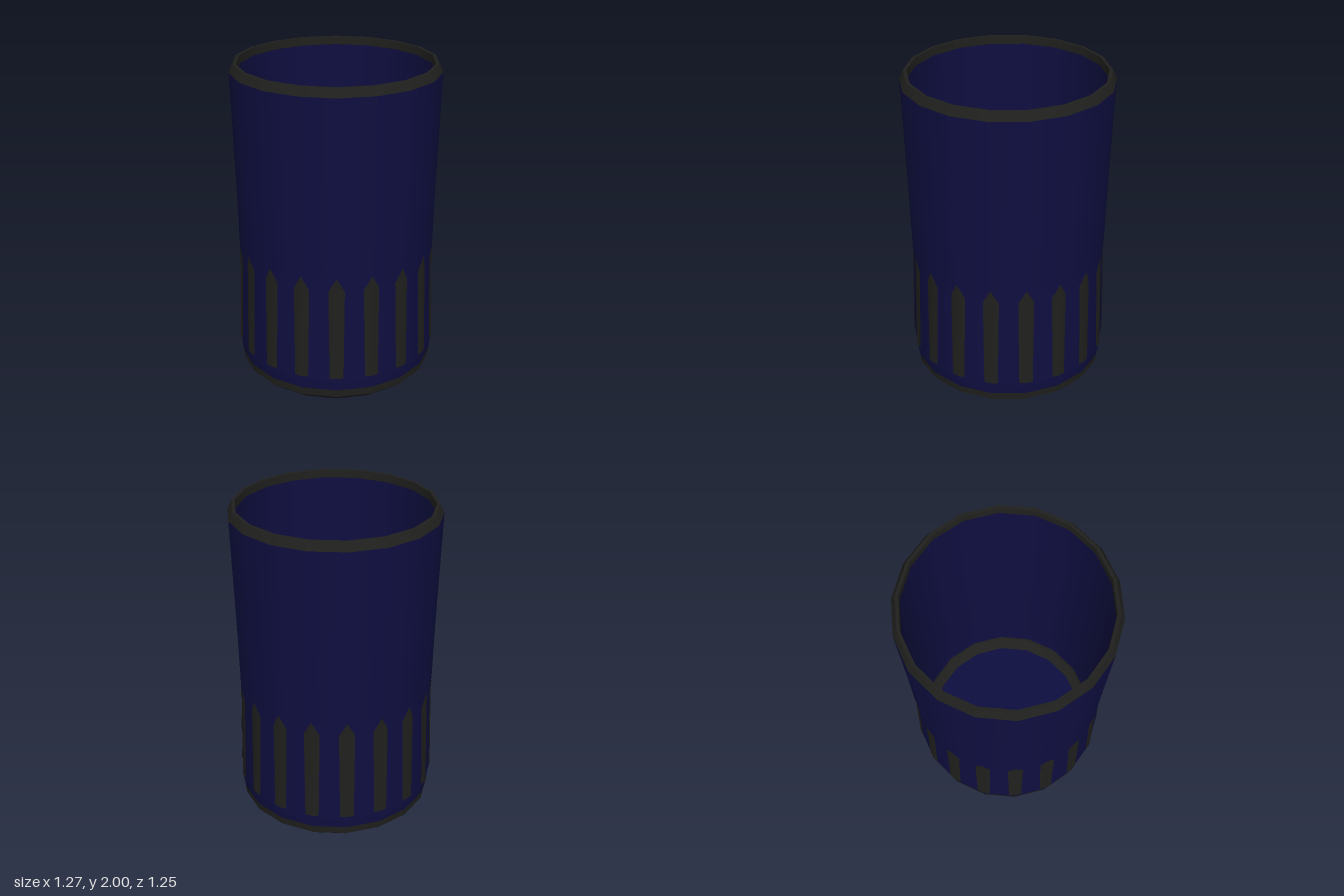
import * as THREE from 'three';

const SIDES = 18;
const STEP = (Math.PI * 2) / SIDES;
const blue = new THREE.MeshStandardMaterial({ color: 0x0e0e40 });
const black = new THREE.MeshStandardMaterial({ color: 0x1f1f1d });

// Ring of faces swept from [radius, y] points, with a corner on the x axis
function band(name, points, material) {
  const profile = points.map(([r, y]) => new THREE.Vector2(r, y));
  const mesh = new THREE.Mesh(new THREE.LatheGeometry(profile, SIDES, STEP / 2), material);
  mesh.name = name;
  return mesh;
}

// Rows of a pointed stripe: wall radius, height, half width
const STRIPE = [[0.625, 0.19, 0.043], [0.606, 0.77, 0.049], [0.611, 0.86, 0]];

// Thin stripe folded over one vertical corner of the wall
function stripeGeometry() {
  const pos = [];
  const index = [];
  for (const [radius, y, w] of STRIPE) {
    const r = radius + 0.003;
    for (const side of [-1, 0, 1]) {
      pos.push(r - w * Math.sin(STEP / 2), y, -side * w * Math.cos(STEP / 2));
    }
    // the middle corner stays on the fold
    pos[pos.length - 6] = r;
  }
  for (let row = 0; row < STRIPE.length - 1; row++) {
    for (let col = 0; col < 2; col++) {
      const a = row * 3 + col;
      index.push(a, a + 1, a + 4, a, a + 4, a + 3);
    }
  }
  const geometry = new THREE.BufferGeometry();
  geometry.setAttribute('position', new THREE.Float32BufferAttribute(pos, 3));
  geometry.setIndex(index);
  geometry.computeVertexNormals();
  return geometry;
}

export function createModel() {
  const cup = new THREE.Group();
  cup.name = 'cup';

  // Base: underside, bevel and upright edge
  cup.add(
    band('baseUnderside', [[0, 0], [0.548, 0]], black),
    band('baseBevel', [[0.548, 0], [0.608, 0.05]], black),
    band('baseEdge', [[0.608, 0.05], [0.613, 0.1]], black),
  );

  // Slightly waisted outer wall
  cup.add(band('outerWall', [
    [0.613, 0.1], [0.625, 0.19], [0.606, 0.77], [0.611, 0.86],
    [0.616, 1.2], [0.626, 1.6], [0.635, 1.95],
  ], blue));

  // Bevelled rim
  cup.add(
    band('rimOuterBevel', [[0.635, 1.95], [0.61, 2]], black),
    band('rimTop', [[0.61, 2], [0.59, 2]], black),
    band('rimInnerEdge', [[0.59, 2], [0.588, 1.95]], black),
  );

  // Inside: wall, ring at the bottom and floor
  cup.add(
    band('innerWall', [
      [0.588, 1.95], [0.584, 1.2], [0.577, 0.8], [0.59, 0.2], [0.582, 0.1],
    ], blue),
    band('innerBaseRing', [[0.582, 0.1], [0.575, 0.07], [0.52, 0.03]], black),
    band('innerFloor', [[0.52, 0.03], [0, 0.03]], blue),
  );

  // Pointed stripes, one on each corner
  const geometry = stripeGeometry();
  const stripes = new THREE.Group();
  stripes.name = 'stripes';
  for (let i = 0; i < SIDES; i++) {
    const stripe = new THREE.Mesh(geometry, black);
    stripe.name = 'stripe';
    stripe.rotation.y = i * STEP;
    stripes.add(stripe);
  }
  cup.add(stripes);
  return cup;
}
